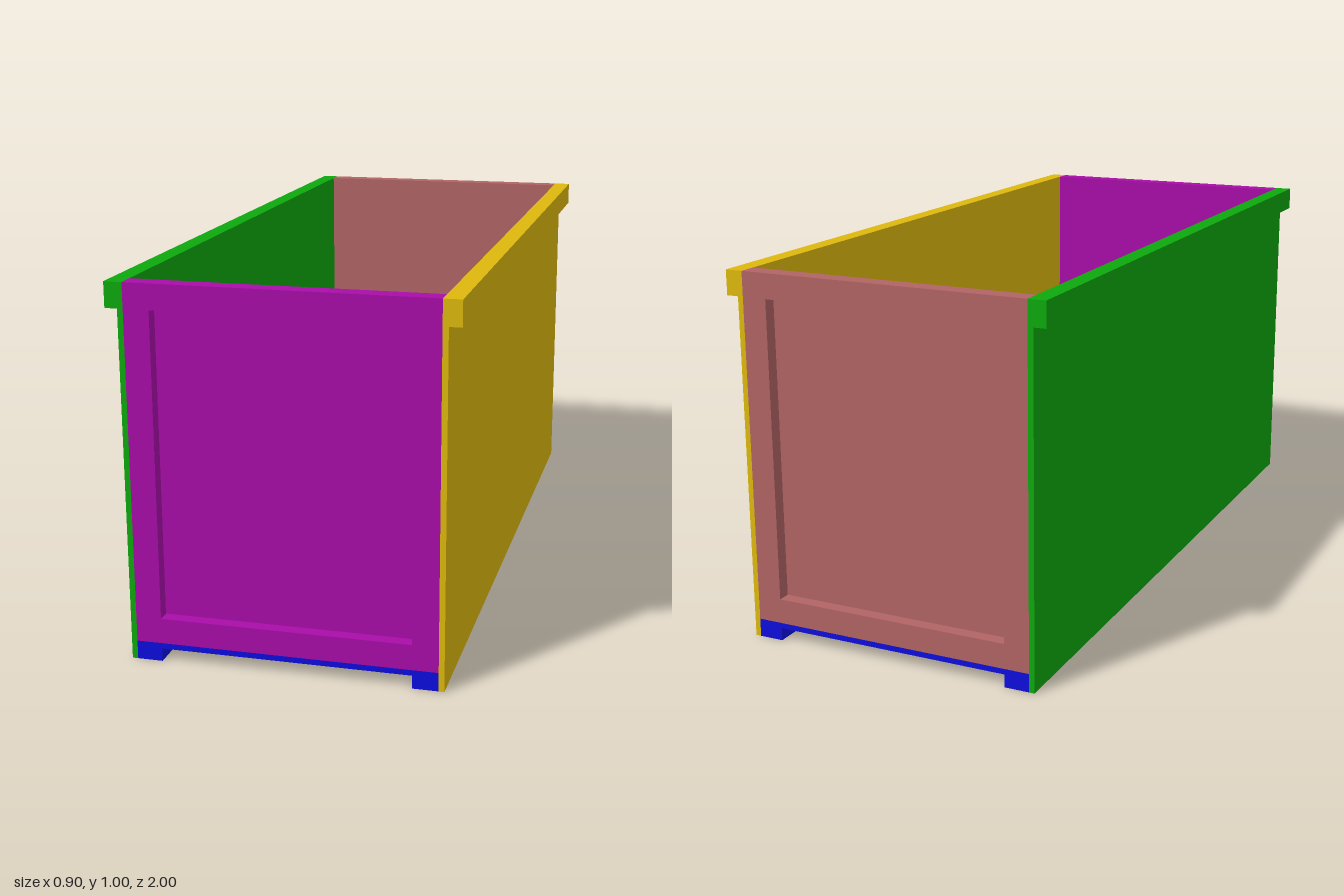
import * as THREE from 'three';

const LENGTH = 2, HALF_W = 0.4, FLOOR_TOP = 0.05, HEIGHT = 1;
const FRAME_DEPTH = 0.035, PANEL_DEPTH = 0.015;

function mesh(name, geometry, color) {
  const m = new THREE.Mesh(geometry, new THREE.MeshStandardMaterial({ color, flatShading: true }));
  m.name = name;
  return m;
}

// Extrude an x/y outline along z, starting at z0
function extrude(points, depth, z0, hole) {
  const toVec = (p) => new THREE.Vector2(p[0], p[1]);
  const shape = new THREE.Shape(points.map(toVec));
  if (hole) shape.holes.push(new THREE.Path(hole.map(toVec)));
  return new THREE.ExtrudeGeometry(shape, { depth, bevelEnabled: false }).translate(0, 0, z0);
}

const rect = (w, y0, y1) => [[-w, y0], [w, y0], [w, y1], [-w, y1]];

// Long thin wall with a thick rim along its top edge
function sideWall(name, side, color) {
  const profile = [[0.4, 0], [0.415, 0], [0.415, 0.933], [0.448, 0.933], [0.448, HEIGHT], [0.4, HEIGHT]]
    .map(([x, y]) => [x * side, y]);
  return mesh(name, extrude(profile, LENGTH, -LENGTH / 2), color);
}

// End wall: raised frame on the outside of a thin flat panel
function endWall(name, color) {
  const group = new THREE.Group();
  group.name = name;
  const outline = rect(HALF_W, FLOOR_TOP, HEIGHT);
  const opening = rect(0.332, 0.118, 0.933).reverse();
  const z = LENGTH / 2 - FRAME_DEPTH;
  group.add(mesh(name + 'Frame', extrude(outline, FRAME_DEPTH, z, opening), color));
  group.add(mesh(name + 'Panel', extrude(outline, PANEL_DEPTH, z - PANEL_DEPTH), color));
  return group;
}

export function createModel() {
  const group = new THREE.Group();
  group.name = 'openBox';

  // Floor with a runner under each long edge
  const base = [[-0.4, 0], [-0.332, 0], [-0.332, 0.035], [0.332, 0.035], [0.332, 0],
    [0.4, 0], [0.4, FLOOR_TOP], [-0.4, FLOOR_TOP]];
  group.add(mesh('floor', extrude(base, LENGTH, -LENGTH / 2), 0x0d0ddd));

  // Long side walls
  group.add(sideWall('leftWall', 1, 0xddb80d));
  group.add(sideWall('rightWall', -1, 0x0da80d));

  // Framed end walls
  group.add(endWall('frontWall', 0xa80da8));
  const back = endWall('backWall', 0xb06464);
  back.rotation.y = Math.PI;
  group.add(back);

  return group;
}
